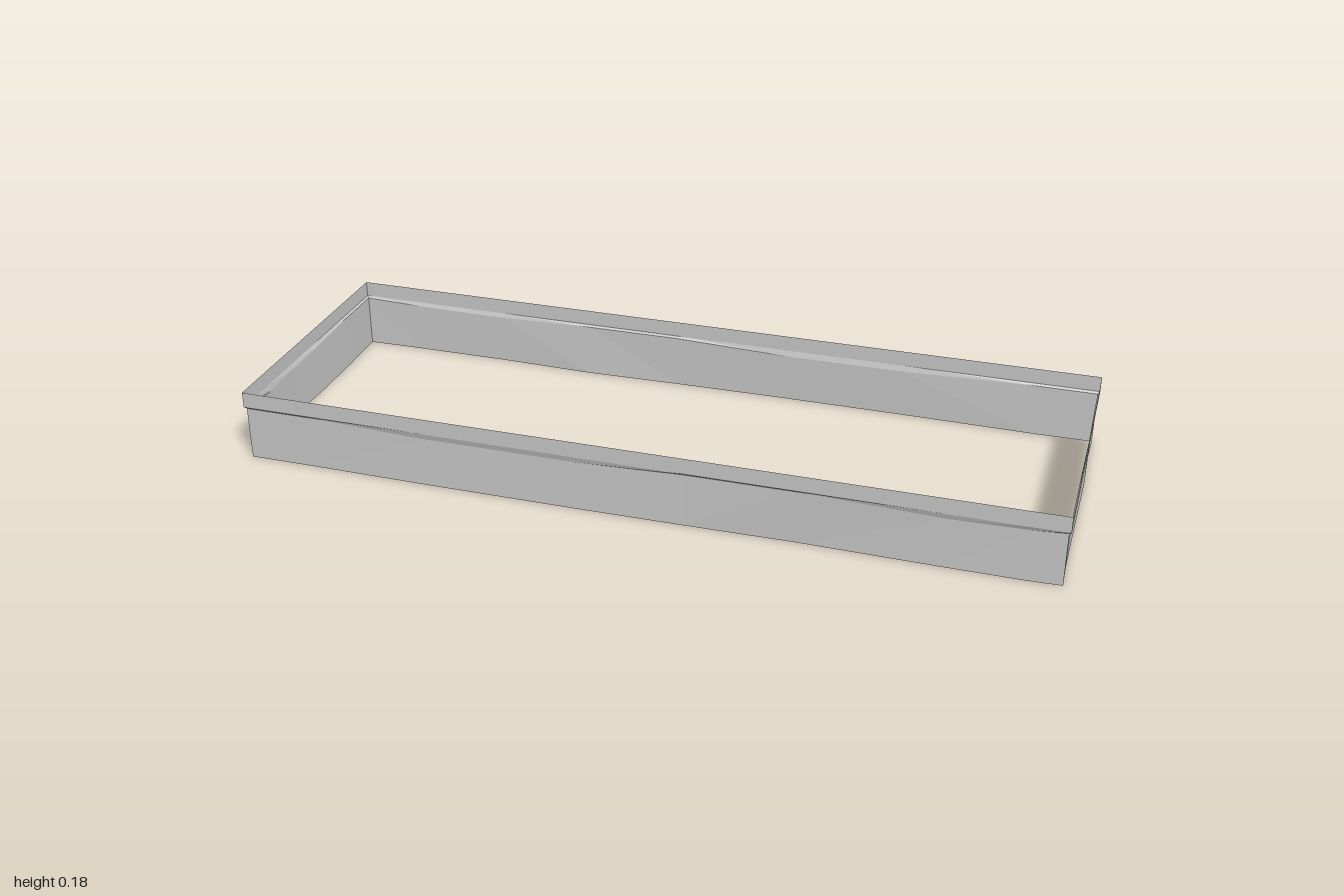
import * as THREE from 'three';

const HALF_X = 1, HALF_Z = 0.347, TOP = 0.18, RIM = 0.14;
const CORNER = 0.005; // inset of the skirt at every corner

// Each wall: stations of [position along axis, fold height, inset at fold, inset at foot]
const walls = {
  front: [[-1, 0.135, CORNER, CORNER], [-0.83, 0.135, 0.005, 0.005], [-0.53, 0.125, 0.004, 0.002],
    [-0.15, 0.125, 0.004, 0.002], [0.12, 0.135, 0.005, 0.004], [0.39, 0.135, 0.006, 0.008],
    [0.73, 0.126, 0.004, 0.003], [0.92, 0.13, 0.004, 0.002], [1, 0.135, CORNER, CORNER]],
  back: [[-1, 0.135, CORNER, CORNER], [-0.85, 0.13, 0.004, 0.003], [-0.6, 0.128, 0.004, 0.003],
    [-0.35, 0.135, 0.006, 0.01], [-0.1, 0.135, 0.005, 0.004], [0.2, 0.125, 0.004, 0.001],
    [0.5, 0.125, 0.004, 0.002], [0.85, 0.135, 0.005, 0.007], [1, 0.135, CORNER, CORNER]],
  left: [[-0.347, 0.135, CORNER, CORNER], [-0.265, 0.135, 0.005, 0.007], [-0.12, 0.119, 0.004, 0.003],
    [0.14, 0.135, 0.005, 0.006], [0.27, 0.135, 0.005, 0.007], [0.347, 0.135, CORNER, CORNER]],
  right: [[-0.347, 0.135, CORNER, CORNER], [-0.2, 0.135, 0.005, 0.008], [-0.03, 0.13, 0.005, 0.008],
    [0.1, 0.128, 0.004, 0.004], [0.22, 0.122, 0.003, 0], [0.347, 0.135, CORNER, CORNER]],
};

// Sheet lofted through rows of points
function sheet(rows, name, material) {
  const pos = [], index = [], n = rows[0].length;
  rows.forEach(row => row.forEach(p => pos.push(...p)));
  for (let i = 0; i < rows.length - 1; i++) {
    for (let j = 0; j < n - 1; j++) {
      const a = i * n + j, b = a + n;
      index.push(a, a + 1, b, b, a + 1, b + 1);
    }
  }
  const g = new THREE.BufferGeometry();
  g.setAttribute('position', new THREE.Float32BufferAttribute(pos, 3));
  g.setIndex(index);
  g.computeVertexNormals();
  const mesh = new THREE.Mesh(g, material);
  mesh.name = name;
  return mesh;
}

export function createModel() {
  const group = new THREE.Group();
  group.name = 'rectangularBand';
  const material = new THREE.MeshStandardMaterial({ color: 0xcccccc, flatShading: true, side: THREE.DoubleSide });

  for (const [name, stations] of Object.entries(walls)) {
    const alongX = name === 'front' || name === 'back';
    const sign = name === 'front' || name === 'left' ? 1 : -1;
    const length = alongX ? HALF_X : HALF_Z, depth = alongX ? HALF_Z : HALF_X;

    // Place a point on this wall; the ends draw in so that the corners meet
    const point = (t, y, inset, endInset) => {
      const along = t * (length - endInset) / length, out = sign * (depth - inset);
      return alongX ? [along, y, out] : [out, y, along];
    };

    // Keep the winding outward on every wall
    const list = (name === 'front' || name === 'right') ? stations : [...stations].reverse();
    const rim = list.map(([t]) => [point(t, RIM, 0, 0), point(t, TOP, 0, 0)].reverse());
    const skirt = list.map(([t, foldY, fold, foot]) => [
      point(t, RIM, 0, 0),
      point(t, foldY, fold, CORNER),
      point(t, 0, foot, CORNER),
    ]);

    // Straight upper rim, then the folded, gently wavy skirt below it
    group.add(sheet(rim, name + 'Rim', material), sheet(skirt, name + 'Skirt', material));
  }
  return group;
}
